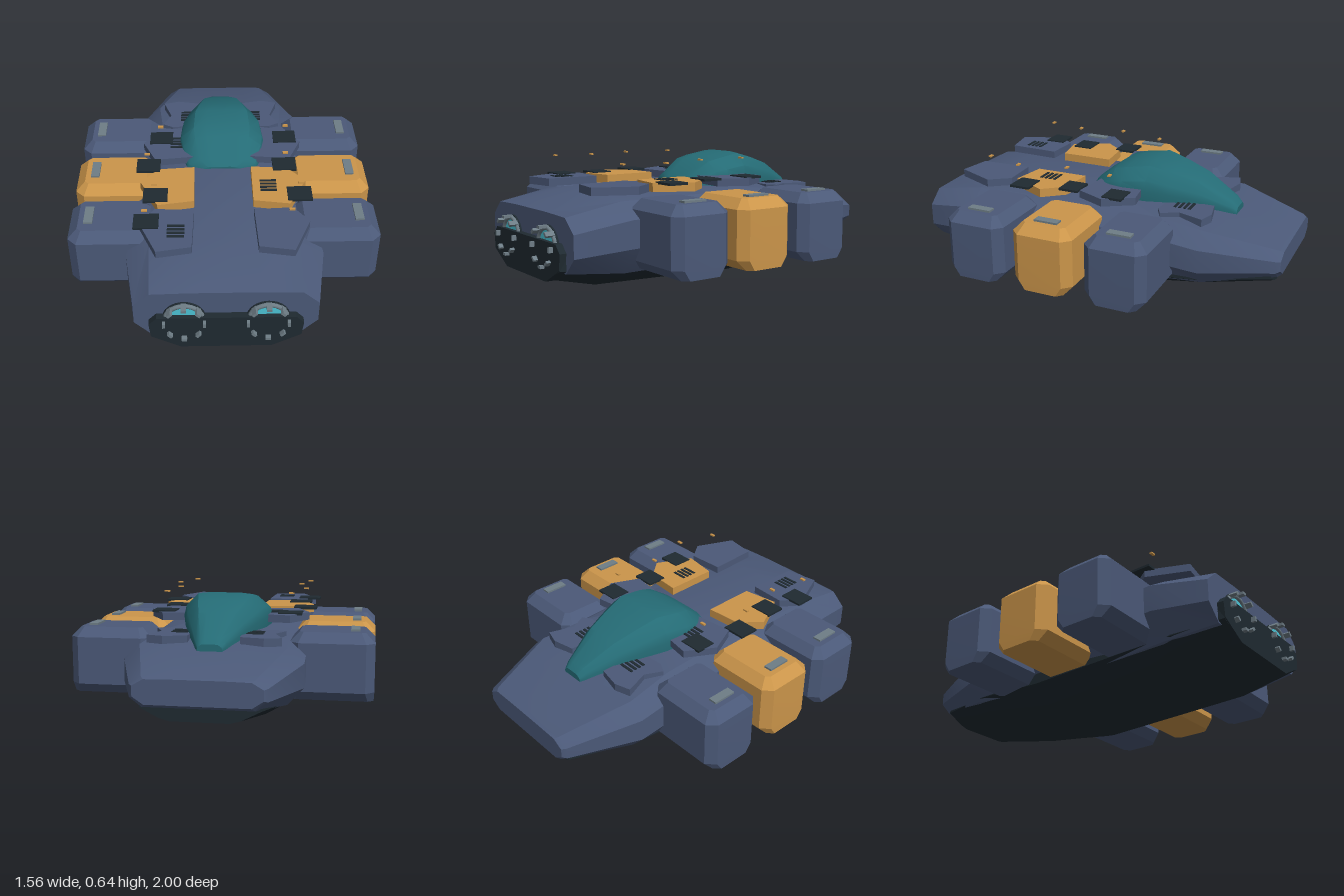
import * as THREE from 'three';
import { toCreasedNormals } from 'three/addons/utils/BufferGeometryUtils.js';

const mat = (name, color) => {
  const m = new THREE.MeshStandardMaterial({ color });
  m.name = name;
  return m;
};

// Skin a list of equal-length closed rings, with both ends capped.
function loft(rings, crease = 0.45) {
  const n = rings[0].length, tri = [];
  const quad = (a, b, c, d) => tri.push(a, b, c, a, c, d);
  for (let i = 0; i < rings.length - 1; i++) {
    for (let j = 0; j < n; j++) {
      const k = (j + 1) % n;
      quad(rings[i][j], rings[i][k], rings[i + 1][k], rings[i + 1][j]);
    }
  }
  const first = rings[0], last = rings[rings.length - 1];
  for (let j = 1; j < n - 1; j++) {
    tri.push(first[0], first[j + 1], first[j], last[0], last[j], last[j + 1]);
  }
  // Turn the faces outward if the enclosed volume is negative
  let volume = 0;
  for (let i = 0; i < tri.length; i += 3) {
    const [a, b, c] = tri.slice(i, i + 3).map(p => new THREE.Vector3(...p));
    volume += a.dot(b.cross(c));
  }
  if (volume < 0) tri.reverse();
  const g = new THREE.BufferGeometry();
  g.setAttribute('position', new THREE.Float32BufferAttribute(tri.flat(), 3));
  return toCreasedNormals(g, crease);
}

// Mirrored cross-section across z; profile runs from top to bottom as fractions.
function section(profile, [z, w, y0, y1]) {
  const half = profile.map(([u, v]) => [u * w, y0 + v * (y1 - y0), z]);
  return [...half, ...half.slice().reverse().map(([x, y]) => [-x, y, z])];
}

// Rectangle with cut corners, lying at height y.
function cutRect(y, x, z, c) {
  return [[x, z - c], [x - c, z], [c - x, z], [-x, z - c], [-x, c - z], [c - x, -z], [x - c, -z], [x, c - z]]
    .map(([a, b]) => [a, y, b]);
}

export function createModel() {
  const group = new THREE.Group();
  group.name = 'spacecraft';
  const blue = mat('slate blue hull', 0x4b5978);
  const orange = mat('orange panels', 0xcb954a);
  const teal = mat('teal canopy', 0x256c76);
  const dark = mat('dark plating', 0x1f2a31);
  const grey = mat('grey metal', 0x6e7d86);
  const cyan = mat('cyan glow', 0x4cc4d6);

  const add = (name, geometry, material, x = 0, y = 0, z = 0) => {
    const m = new THREE.Mesh(geometry, material);
    m.name = name;
    m.position.set(x, y, z);
    group.add(m);
    return m;
  };
  const box = (name, material, w, h, d, x, y, z) =>
    add(name, new THREE.BoxGeometry(w, h, d), material, x, y, z);

  // Upper hull
  const hullProfile = [[0.3, 1], [0.76, 0.92], [1, 0.72], [1, 0.35], [0.82, 0]];
  const endProfile = [[0.4, 1], [0.82, 0.98], [1, 0.72], [1, 0.3], [0.82, 0]];
  add('upperHull', loft([
    section(endProfile, [0.94, 0.44, 0.14, 0.41]),
    section(hullProfile, [0.65, 0.487, 0.115, 0.488]),
    section(hullProfile, [0.0, 0.44, 0.11, 0.488]),
    section(hullProfile, [-0.35, 0.44, 0.12, 0.475]),
    section(endProfile, [-0.62, 0.445, 0.145, 0.43]),
    section(endProfile, [-0.98, 0.317, 0.2, 0.345]),
    section(endProfile, [-1.0, 0.3, 0.215, 0.335]),
  ]), blue);

  // Lower hull
  const keelProfile = [[1, 1], [1, 0.6], [0.68, 0.14], [0.5, 0]];
  add('lowerHull', loft([
    section(keelProfile, [0.97, 0.36, 0.09, 0.2]),
    section(keelProfile, [0.7, 0.405, 0.03, 0.2]),
    section(keelProfile, [-0.15, 0.4, 0.003, 0.2]),
    section(keelProfile, [-0.6, 0.38, 0.07, 0.22]),
    section(keelProfile, [-0.95, 0.28, 0.13, 0.23]),
  ]), dark);

  // Canopy
  const canopyProfile = [[0.35, 1], [0.65, 0.97], [0.94, 0.68], [1, 0.45], [0.95, 0]];
  add('canopy', loft([
    [0.085, 0.12, 0.44, 0.5], [0.055, 0.19, 0.43, 0.53], [-0.05, 0.225, 0.42, 0.605],
    [-0.12, 0.236, 0.42, 0.622], [-0.25, 0.222, 0.42, 0.645], [-0.37, 0.188, 0.42, 0.614],
    [-0.5, 0.145, 0.41, 0.572], [-0.67, 0.078, 0.4, 0.475], [-0.7, 0.062, 0.4, 0.445],
  ].map(s => section(canopyProfile, s)), 0.6), teal);

  // Side pods with cap plates
  const podShape = loft([
    cutRect(0.13, 0.21, 0.115, 0.03), cutRect(0.18, 0.212, 0.162, 0.045),
    cutRect(0.425, 0.212, 0.162, 0.045), cutRect(0.475, 0.163, 0.115, 0.02),
  ], 0.2);
  for (const s of [-1, 1]) {
    [[-0.317, blue], [0.07, orange], [0.45, blue]].forEach(([z, m]) => {
      add('sidePod', podShape, m, s * 0.568, 0, z);
      box('podCapPlate', grey, 0.045, 0.014, 0.125, s * 0.68, 0.478, z);
    });
    const strut = add('podStrut', new THREE.CylinderGeometry(0.016, 0.016, 0.16, 10), orange, s * 0.44, 0.252, 0.24);
    strut.rotation.x = Math.PI / 2;
  }

  // Deck armour, outlined as x, z corners
  const armour = [
    [blue, 0.49, 0.53, [[0.15, 0.48], [0.345, 0.47], [0.42, 0.575], [0.33, 0.785], [0.16, 0.755]]],
    [orange, 0.485, 0.53, [[0.15, 0.125], [0.34, 0.14], [0.43, 0.25], [0.335, 0.44], [0.15, 0.41]]],
    [blue, 0.49, 0.53, [[0.15, -0.22], [0.34, -0.25], [0.43, -0.1], [0.36, 0.055], [0.15, 0.03]]],
    [blue, 0.42, 0.468, [[0.13, -0.6], [0.25, -0.625], [0.335, -0.6], [0.29, -0.47], [0.335, -0.38], [0.28, -0.35], [0.13, -0.36]]],
  ];
  for (const s of [-1, 1]) {
    for (const [m, y0, y1, pts] of armour) {
      const shape = new THREE.Shape(pts.map(([x, z]) => new THREE.Vector2(s * x, -z)));
      const g = new THREE.ExtrudeGeometry(shape, { depth: y1 - y0, bevelEnabled: false });
      g.rotateX(-Math.PI / 2);
      add('deckArmour', g, m, 0, y0, 0);
    }
  }

  // Dark deck tiles, with a small marker floating over each
  [[-0.333, -0.145], [-0.393, 0.108], [-0.347, 0.362], [-0.385, 0.567],
    [0.347, -0.145], [0.328, 0.108], [0.388, 0.362]].forEach(([x, z]) => {
    box('deckTile', dark, 0.125, 0.012, 0.108, x, 0.53, z);
    box('floatingMarker', orange, 0.028, 0.008, 0.014, x, 0.631, z + 0.035);
  });
  box('floatingMarker', orange, 0.028, 0.008, 0.014, 0.325, 0.631, 0.605);

  // Vent slots
  [[-0.238, 0.53, 0.64], [0.232, 0.53, 0.29], [-0.24, 0.53, -0.1],
    [-0.19, 0.468, -0.46], [0.19, 0.468, -0.46]].forEach(([x, y, z]) => {
    for (let i = 0; i < 4; i++) {
      box('ventSlot', dark, 0.085, 0.008, 0.014, x, y, z + (i - 1.5) * 0.026);
    }
  });

  // Engine plate
  const plateHalf = [[0.33, 0.28], [0.368, 0.24], [0.36, 0.16], [0.22, 0.085]];
  const plate = new THREE.Shape([...plateHalf, ...plateHalf.slice().reverse().map(([x, y]) => [-x, y])]
    .map(p => new THREE.Vector2(...p)));
  add('enginePlate', new THREE.ExtrudeGeometry(plate, { depth: 0.07, bevelEnabled: false }), dark, 0, 0, 0.905);

  // Engines: housing, glowing disc, rim and prongs
  for (const s of [-1, 1]) {
    const x = s * 0.2, y = 0.25;
    const housing = add('engineHousing', new THREE.CylinderGeometry(0.104, 0.104, 0.05, 32), dark, x, y, 0.925);
    housing.rotation.x = Math.PI / 2;
    add('engineGlow', new THREE.CircleGeometry(0.08, 32), cyan, x, y, 0.953);
    add('engineRim', new THREE.TorusGeometry(0.09, 0.012, 8, 32), grey, x, y, 0.953);
    for (let i = 0; i < 8; i++) {
      const a = i * Math.PI / 4;
      const prong = box('engineProng', grey, 0.014, 0.026, 0.05, x + Math.cos(a) * 0.096, y + Math.sin(a) * 0.096, 0.973);
      prong.rotation.z = a;
    }
  }
  return group;
}
